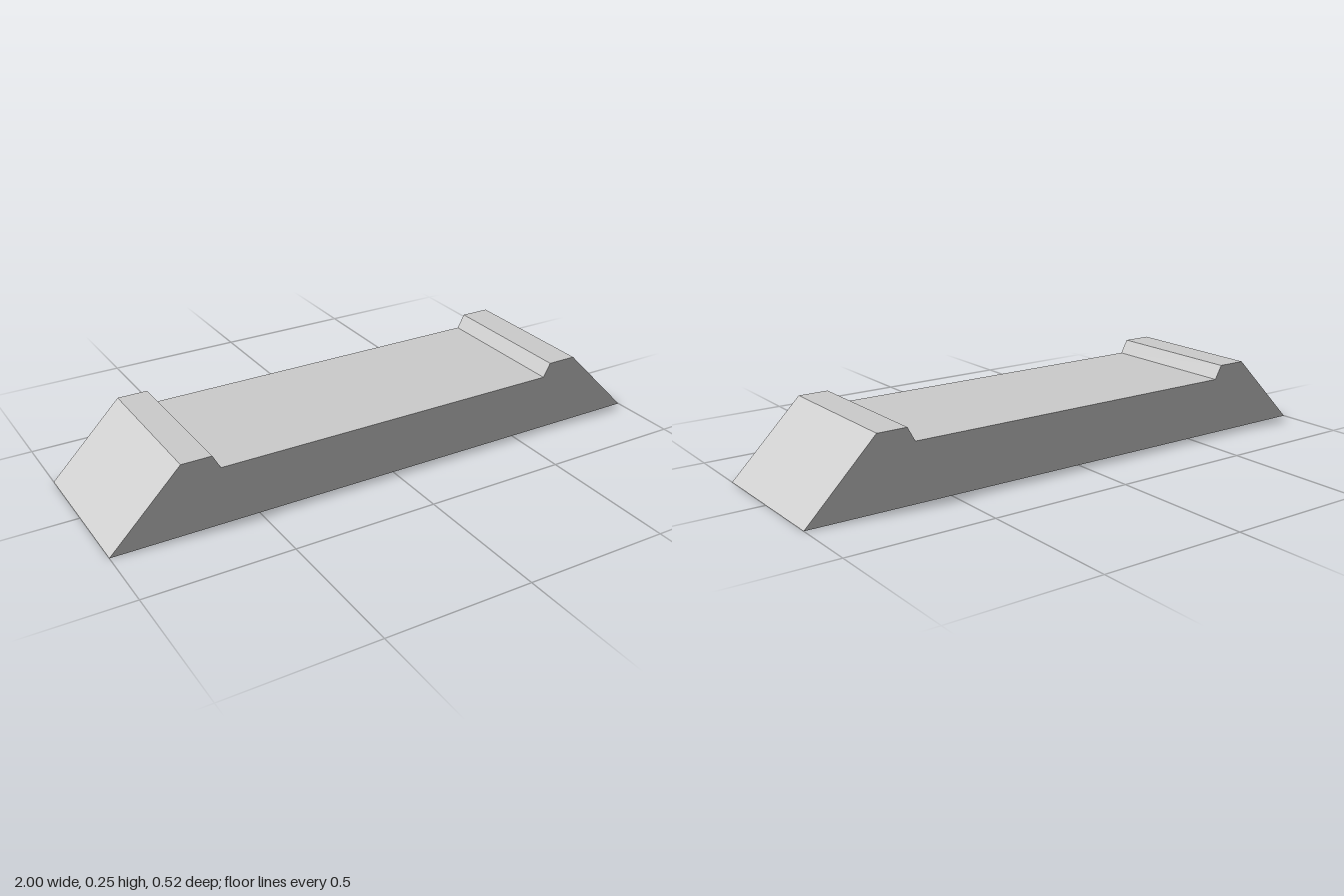
import * as THREE from 'three';

export function createModel() {
  const model = new THREE.Group();
  model.name = 'rampedBlock';
  const grey = new THREE.MeshStandardMaterial({ color: 0xcccccc });
  grey.name = 'lightGrey';

  // Half of the profile, from the ramp foot over the raised lip to the deck
  const half = [[1, 0], [0.754, 0.248], [0.65, 0.248], [0.624, 0.2]];
  const mirrored = half.map(([x, y]) => [-x, y]).reverse();
  const shape = new THREE.Shape([...half, ...mirrored].map(([x, y]) => new THREE.Vector2(x, y)));

  // Body: sloped ends, two lips and a recessed deck in one extrusion
  const depth = 0.52;
  const geometry = new THREE.ExtrudeGeometry(shape, { depth, bevelEnabled: false });
  geometry.translate(0, 0, -depth / 2);
  const body = new THREE.Mesh(geometry, grey);
  body.name = 'body';
  model.add(body);
  return model;
}
